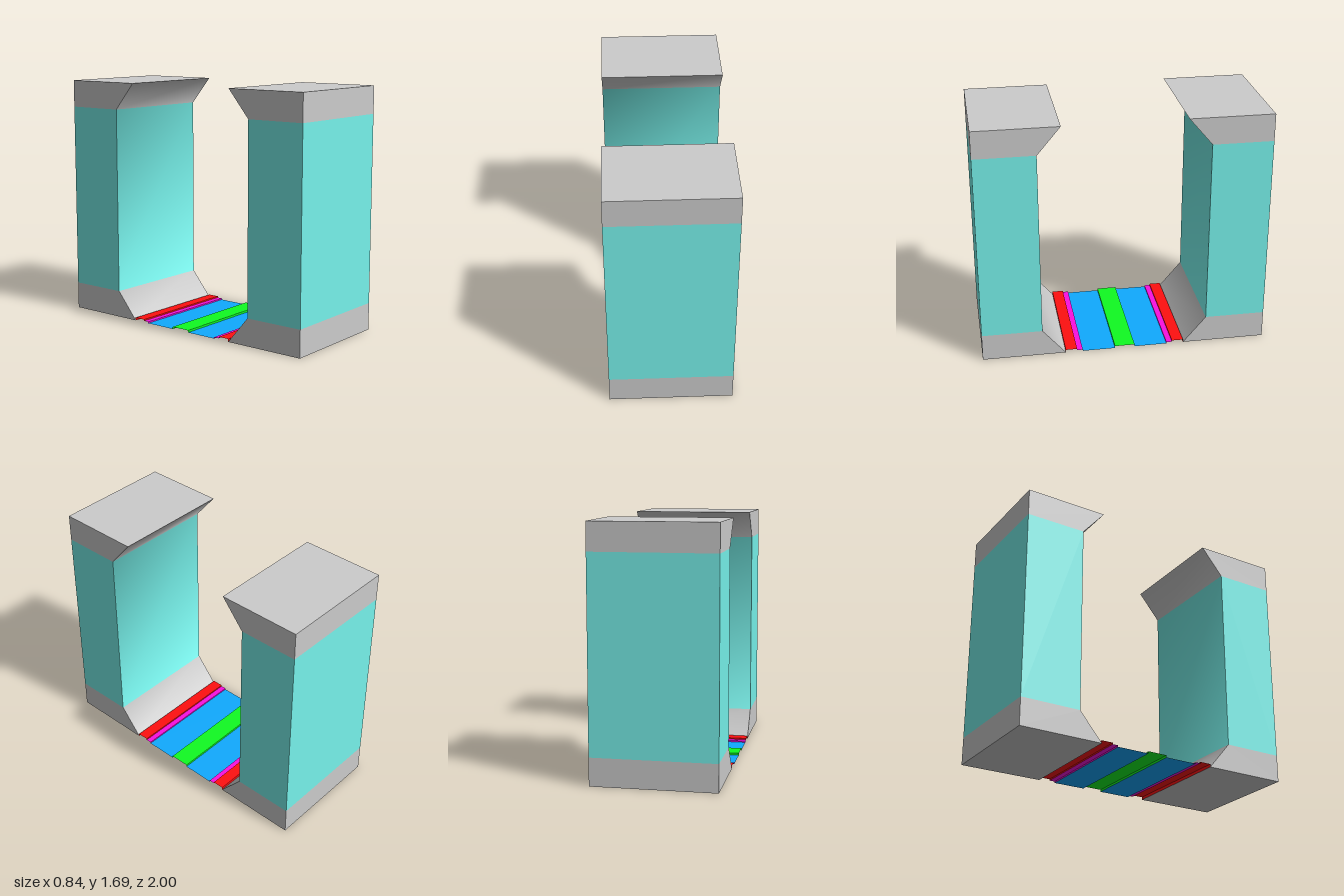
import * as THREE from 'three';
import { mergeGeometries, toCreasedNormals } from 'three/addons/utils/BufferGeometryUtils.js';

const W = 0.84, HALF = W / 2;   // width along x
const H = 1.69, LOW = 0.19, HIGH = 1.5;
const OUT = 1, WALL = 0.58, LIP = 0.42;

const mat = (color, extra = {}) => new THREE.MeshStandardMaterial({ color, ...extra });

// Extrudes a [z, y] outline across the width
function band(points) {
  const shape = new THREE.Shape(points.map(([z, y]) => new THREE.Vector2(-z, y)));
  return new THREE.ExtrudeGeometry(shape, { depth: W, bevelEnabled: false })
    .translate(0, 0, -HALF)
    .rotateY(Math.PI / 2);
}

// Upright block with flared foot and head, softly shaded on the inner side
function blockGeometry() {
  const bands = [
    band([[OUT, 0], [LIP, 0], [WALL, LOW], [OUT, LOW]]),
    band([[OUT, LOW], [WALL, LOW], [WALL, HIGH], [OUT, HIGH]]),
    band([[OUT, HIGH], [WALL, HIGH], [LIP, H], [OUT, H]]),
  ];
  return toCreasedNormals(mergeGeometries(bands, true), THREE.MathUtils.degToRad(45));
}

// Open sheet following a [z, y] path, one flat panel per segment
function sheet(name, color, path) {
  const panels = [];
  for (let i = 0; i < path.length - 1; i++) {
    const [z0, y0] = path[i], [z1, y1] = path[i + 1];
    const dz = z1 - z0, dy = y1 - y0;
    panels.push(new THREE.PlaneGeometry(W, Math.hypot(dz, dy))
      .rotateX(Math.atan2(dz, dy))
      .translate(0, (y0 + y1) / 2, (z0 + z1) / 2));
  }
  const mesh = new THREE.Mesh(mergeGeometries(panels), mat(color, { side: THREE.DoubleSide }));
  mesh.name = name;
  return mesh;
}

export function createModel() {
  const model = new THREE.Group();
  model.name = 'channel';

  // Two facing walls
  const grey = mat(0xcccccc), teal = mat(0x77f2eb);
  const geometry = blockGeometry();
  ['frontWall', 'backWall'].forEach((name, i) => {
    const wall = new THREE.Mesh(geometry, [grey, teal, grey]);
    wall.name = name;
    wall.rotation.y = i * Math.PI;
    model.add(wall);
  });

  // Shallow stepped floor strips, mirrored front to back
  for (const [side, s] of [['front', 1], ['back', -1]]) {
    // Path runs towards +z so every panel faces up
    const path = (pts) => {
      const p = pts.map(([z, y]) => [z * s, y]);
      return s > 0 ? p.reverse() : p;
    };
    model.add(
      sheet(side + 'RedStep', 0xff1010, path([[0.42, 0], [0.42, 0.02], [0.34, 0.02], [0.34, 0.01]])),
      sheet(side + 'MagentaStep', 0xfa10e0, path([[0.34, 0.01], [0.3, 0.01], [0.3, 0]])),
      sheet(side + 'BlueFloor', 0x10aaff, path([[0.3, 0], [0.07, 0]])),
    );
  }
  model.add(sheet('greenCentreStrip', 0x10fa22, [[-0.07, 0], [-0.07, 0.015], [0.07, 0.015], [0.07, 0]]));

  return model;
}
